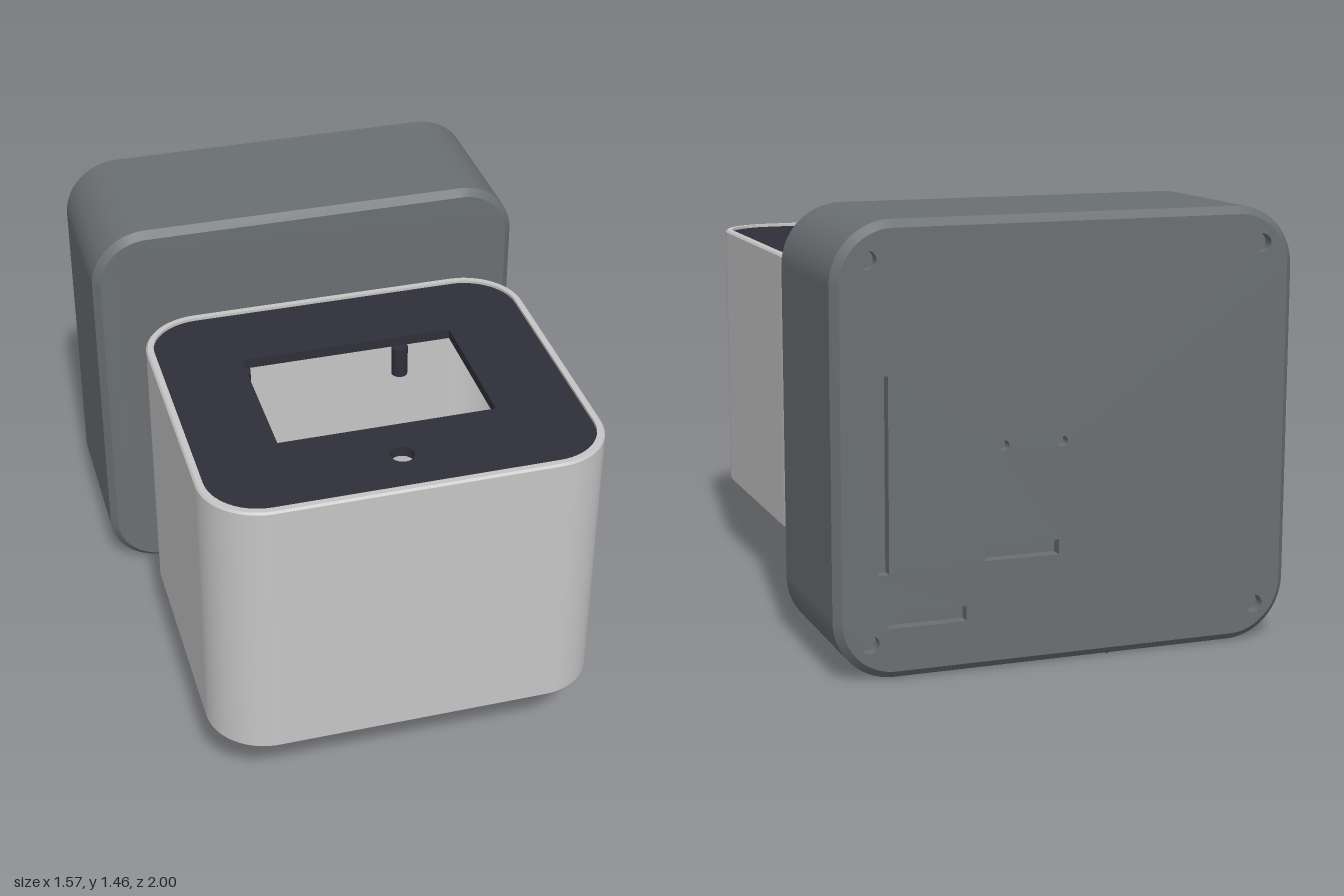
import * as THREE from 'three';
import { mergeGeometries } from 'three/addons/utils/BufferGeometryUtils.js';

const mat = (name, color) => {
  const m = new THREE.MeshStandardMaterial({ color });
  m.name = name;
  return m;
};

// Rounded rectangle centred on the origin
function roundRect(w, h, r) {
  const s = new THREE.Shape(), x = w / 2, y = h / 2;
  s.moveTo(-x + r, -y);
  s.lineTo(x - r, -y);
  s.absarc(x - r, -y + r, r, -Math.PI / 2, 0);
  s.lineTo(x, y - r);
  s.absarc(x - r, y - r, r, 0, Math.PI / 2);
  s.lineTo(-x + r, y);
  s.absarc(-x + r, y - r, r, Math.PI / 2, Math.PI);
  s.lineTo(-x, -y + r);
  s.absarc(-x + r, -y + r, r, Math.PI, Math.PI * 1.5);
  return s;
}

// Side bands through rounded-rectangle rings [inset, z]; each band has its own vertices for crisp edges
function loft(w, h, r, rings) {
  const contour = (inset) => {
    const p = [], k = r - inset, n = 14;
    for (const [q, sx, sy] of [[0, 1, 1], [1, -1, 1], [2, -1, -1], [3, 1, -1]]) {
      for (let i = 0; i <= n; i++) {
        const a = (q + i / n) * Math.PI / 2;
        p.push([sx * (w / 2 - r) + k * Math.cos(a), sy * (h / 2 - r) + k * Math.sin(a)]);
      }
    }
    return p;
  };
  const bands = [];
  for (let b = 0; b < rings.length - 1; b++) {
    const pos = [], idx = [];
    for (const [inset, z] of [rings[b], rings[b + 1]])
      for (const [x, y] of contour(inset)) pos.push(x, y, z);
    const n = pos.length / 6;
    for (let i = 0; i < n; i++) {
      const j = (i + 1) % n;
      idx.push(i, j, n + j, i, n + j, n + i);
    }
    const g = new THREE.BufferGeometry();
    g.setAttribute('position', new THREE.Float32BufferAttribute(pos, 3));
    g.setIndex(idx);
    g.computeVertexNormals();
    bands.push(g);
  }
  return mergeGeometries(bands);
}

const circleHole = (x, y, r) => new THREE.Path().absarc(x, y, r, 0, Math.PI * 2, true);
const rectHole = (x, y, w, h) => new THREE.Path([
  [-1, -1], [-1, 1], [1, 1], [1, -1], [-1, -1],
].map(([a, b]) => new THREE.Vector2(x + a * w / 2, y + b * h / 2)));

export function createModel() {
  const root = new THREE.Group();
  root.name = 'desk device';
  const shell = mat('light grey', 0xc6c6c6);
  const casing = mat('slate grey', 0x6a6f72);
  const dark = mat('dark navy', 0x2f2f3a);
  const yellow = mat('board yellow', 0xc6b740);

  const add = (parent, name, geo, m, x = 0, y = 0, z = 0) => {
    const o = new THREE.Mesh(geo, m);
    o.name = name;
    o.position.set(x, y, z);
    parent.add(o);
    return o;
  };

  // Rear housing, built along z from its back face
  const W = 1.57, H = 1.452, R = 0.2, C = 0.025;
  const housing = new THREE.Group();
  housing.name = 'rearHousing';
  housing.position.set(0, 0.003 + H / 2, -1);
  root.add(housing);
  add(housing, 'housingSides', loft(W, H, R, [[C, 0], [0, C], [0, 0.6 - C], [C, 0.6]]), casing);
  const face = () => roundRect(W - 2 * C, H - 2 * C, R - C);
  add(housing, 'housingFront', new THREE.ShapeGeometry(face(), 14), casing, 0, 0, 0.6);

  // Back plate with screw holes, slots and pin holes
  const back = face();
  for (const sx of [-1, 1]) for (const sy of [-1, 1])
    back.holes.push(circleHole(sx * 0.67, sy * 0.605, 0.03));
  back.holes.push(
    rectHole(0.624, -0.07, 0.035, 0.63),
    rectHole(0.48, -0.535, 0.26, 0.05),
    rectHole(0.16, -0.345, 0.25, 0.05),
    circleHole(0.224, 0, 0.017),
    circleHole(0.024, 0, 0.017),
  );
  add(housing, 'backPlate', new THREE.ExtrudeGeometry(back, { depth: 0.04, bevelEnabled: false, curveSegments: 14 }), casing);
  add(housing, 'recessFloor', new THREE.ShapeGeometry(face(), 14).rotateY(Math.PI), casing, 0, 0, 0.042);

  // Underside: speaker slits, ports, service panel seam
  const under = new THREE.Group();
  under.name = 'underside';
  root.add(under);
  for (let i = -4; i <= 4; i++) {
    const x = i * 0.029, len = 2 * Math.sqrt(0.14 ** 2 - x * x);
    add(under, 'speakerSlit', new THREE.BoxGeometry(0.01, 0.004, len), dark, 0.11 + x, 0.002, -0.68);
  }
  add(under, 'port', new THREE.BoxGeometry(0.11, 0.004, 0.05), dark, 0.46, 0.002, -0.715);
  add(under, 'rearPort', new THREE.BoxGeometry(0.09, 0.004, 0.025), dark, 0.48, 0.002, -0.945);
  add(under, 'panelSeam', new THREE.BoxGeometry(0.006, 0.004, 0.55), dark, -0.15, 0.002, -0.7);
  add(under, 'panelScrew', new THREE.CylinderGeometry(0.018, 0.018, 0.004, 20), dark, -0.38, 0.002, -0.52);

  // Neck joining the two bodies
  const neck = (name, rFront, rBack, z0, z1) => add(root, name,
    new THREE.CylinderGeometry(rFront, rBack, z1 - z0, 40).rotateX(Math.PI / 2), shell, 0, 0.67, (z0 + z1) / 2);
  neck('neckTube', 0.14, 0.14, -0.325, -0.17);
  neck('neckFlare', 0.14, 0.2, -0.385, -0.325);
  neck('neckCollar', 0.2, 0.2, -0.405, -0.385);

  // Front box: local z becomes height
  const bw = 1.35, bd = 1.18, br = 0.205;
  const box = new THREE.Group();
  box.name = 'frontBox';
  box.position.set(0, 0, 0.41);
  box.rotation.x = -Math.PI / 2;
  root.add(box);
  add(box, 'boxShell', loft(bw, bd, br,
    [[0.035, 0.225], [0, 0.26], [0, 1.228], [0.006, 1.235], [0.026, 1.235], [0.026, 0.27]]), shell);
  const bottom = roundRect(bw - 0.07, bd - 0.07, br - 0.035);
  const mounts = [[0.19, 0.27], [0.19, -0.215], [-0.37, 0.27], [-0.37, -0.215]];
  for (const [x, y] of mounts) bottom.holes.push(circleHole(x, y, 0.015));
  add(box, 'boxBottom', new THREE.ShapeGeometry(bottom, 14).rotateY(Math.PI).scale(-1, 1, 1), shell, 0, 0, 0.225)
    .material = shell;
  // Mirroring flips the winding, so restore it
  box.getObjectByName('boxBottom').geometry.index.array.reverse();
  add(box, 'boxFloor', new THREE.ShapeGeometry(roundRect(bw - 0.05, bd - 0.05, br - 0.025), 14), shell, 0, 0, 0.27);
  add(box, 'mountRecess', new THREE.PlaneGeometry(1, 0.9).rotateY(Math.PI), shell, 0, 0, 0.255);

  // Lid with window and button hole
  const lid = roundRect(bw - 0.052, bd - 0.052, br - 0.026);
  lid.holes.push(rectHole(0, 0.025, 0.74, 0.5), circleHole(0, -0.39, 0.04));
  add(box, 'lid', new THREE.ExtrudeGeometry(lid, { depth: 0.035, bevelEnabled: false, curveSegments: 14 }), dark, 0, 0, 1.19);
  for (const [x, y] of mounts)
    add(box, 'lidPeg', new THREE.CylinderGeometry(0.028, 0.028, 0.11, 24).rotateX(Math.PI / 2), dark, x, y, 1.135);

  // Circuit board with component block
  add(box, 'circuitBoard', new THREE.BoxGeometry(0.84, 0.6, 0.03), yellow, 0, 0.025, 0.315);
  add(box, 'componentBlock', new THREE.BoxGeometry(0.36, 0.28, 0.1), shell, -0.04, 0.045, 0.38);
  add(box, 'componentTab', new THREE.BoxGeometry(0.05, 0.075, 0.008), dark, 0.085, 0.148, 0.432);
  return root;
}
